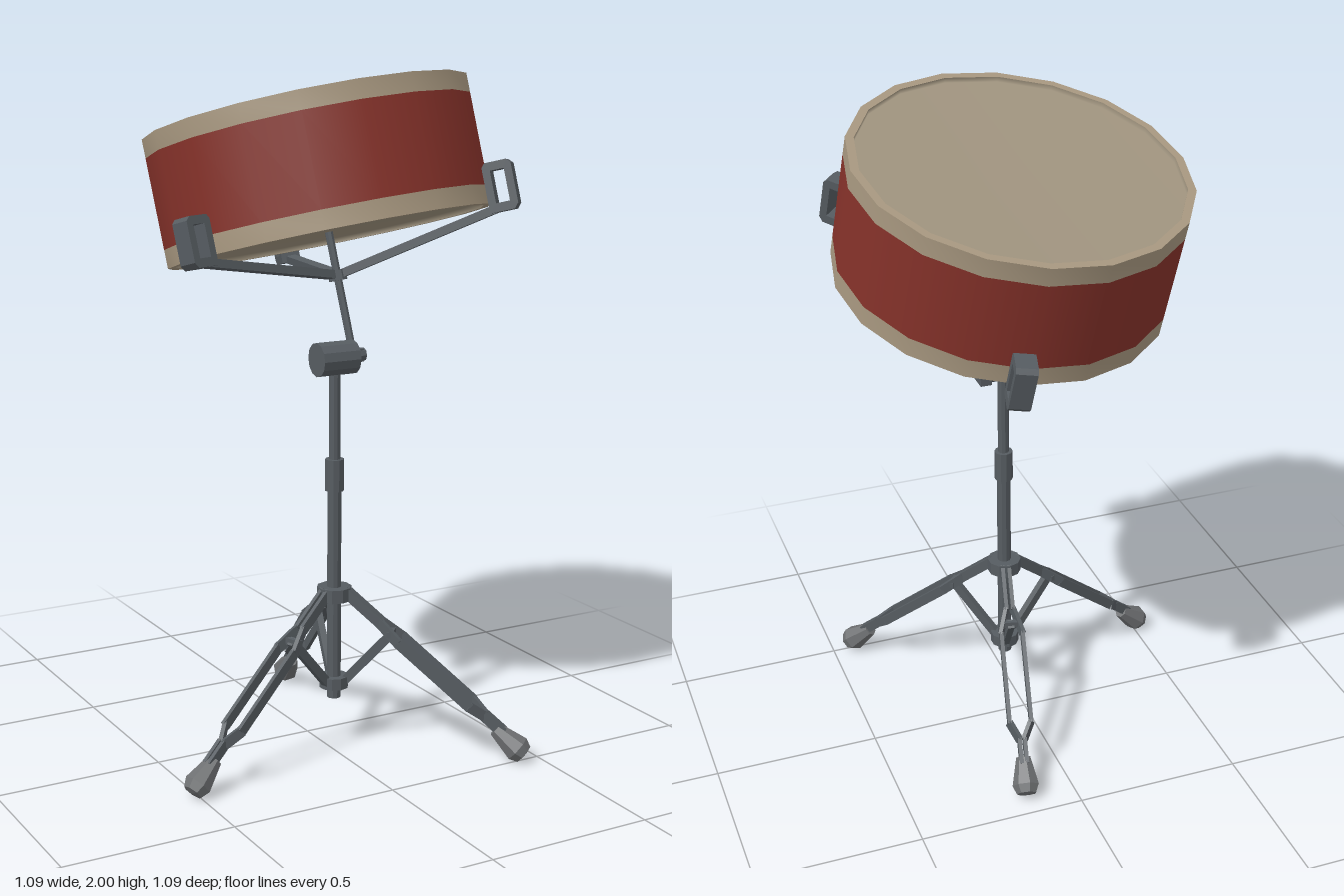
import * as THREE from 'three';
import { toCreasedNormals } from 'three/addons/utils/BufferGeometryUtils.js';

const mat = (color, flatShading = false) => new THREE.MeshStandardMaterial({ color, flatShading });
const metal = mat(0x565c61, true);
const rubber = mat(0x6e7072, true);
const red = mat(0x86322a);
const rimTan = mat(0xa89880);
const skin = mat(0xa0947f);

// Directions of the three legs and of the three cradle arms, in degrees
const ANGLES = [43, 163, -77];

export function createModel() {
  const model = new THREE.Group();

  function add(parent, name, geometry, material, x = 0, y = 0, z = 0) {
    const mesh = new THREE.Mesh(geometry, material);
    mesh.name = name;
    mesh.position.set(x, y, z);
    parent.add(mesh);
    return mesh;
  }

  // Straight box bar between two points
  function bar(parent, name, a, b, width, height, extra = 0.006) {
    const p = new THREE.Vector3(...a), q = new THREE.Vector3(...b);
    const mesh = new THREE.Mesh(new THREE.BoxGeometry(width, height, p.distanceTo(q) + extra), metal);
    mesh.name = name;
    mesh.position.copy(p).add(q).multiplyScalar(0.5);
    mesh.lookAt(q);
    parent.add(mesh);
  }

  // Group whose +x points outwards at the given angle
  function spoke(parent, name, angle) {
    const group = new THREE.Group();
    group.name = name;
    group.rotation.y = -THREE.MathUtils.degToRad(angle);
    parent.add(group);
    return group;
  }

  const cyl = (top, bottom, height, sides) => new THREE.CylinderGeometry(top, bottom, height, sides);

  // ---- Stand ----
  const stand = new THREE.Group();
  stand.name = 'stand';
  stand.position.set(0.024, 0, 0.12);
  model.add(stand);

  add(stand, 'lowerPole', cyl(0.021, 0.021, 0.66, 10), metal, 0, 0.48, 0);
  add(stand, 'upperPole', cyl(0.017, 0.017, 0.36, 10), metal, 0, 0.98, 0);
  add(stand, 'heightCollar', cyl(0.028, 0.028, 0.095, 10), metal, 0, 0.835, 0);
  add(stand, 'upperLegCollar', cyl(0.052, 0.052, 0.04, 10), metal, 0, 0.475, 0);
  add(stand, 'lowerLegCollar', cyl(0.044, 0.044, 0.035, 10), metal, 0, 0.2, 0);

  // Tilt clamp with its bolt
  add(stand, 'tiltClamp', cyl(0.05, 0.05, 0.12, 12), metal, 0, 1.18, 0).rotation.z = Math.PI / 2;
  add(stand, 'tiltBolt', cyl(0.02, 0.02, 0.05, 8), metal, 0.08, 1.18, -0.015).rotation.z = Math.PI / 2;
  add(stand, 'rodClamp', new THREE.BoxGeometry(0.035, 0.038, 0.085), metal, 0.082, 1.18, -0.045);

  // Legs: a pair of straps that part, run side by side and meet at the foot
  const legY = r => 0.47 - (r - 0.05) * 0.83;
  const legPath = [[0.035, 0.01], [0.14, 0.01], [0.2, 0.033], [0.415, 0.033], [0.455, 0.008], [0.51, 0.008]];
  const footProfile = [[0, -0.06], [0.022, -0.06], [0.041, 0.025], [0.03, 0.05], [0, 0.055]]
    .map(p => new THREE.Vector2(...p));
  for (const angle of ANGLES) {
    const leg = spoke(stand, 'leg', angle);
    for (const side of [1, -1]) {
      for (let i = 1; i < legPath.length; i++) {
        const [r0, w0] = legPath[i - 1], [r1, w1] = legPath[i];
        bar(leg, 'legStrap', [r0, legY(r0), side * w0], [r1, legY(r1), side * w1], 0.012, 0.03);
      }
    }
    bar(leg, 'legPivot', [0.175, legY(0.175), -0.028], [0.175, legY(0.175), 0.028], 0.018, 0.018);
    bar(leg, 'legBrace', [0.03, 0.2, 0], [0.178, 0.365, 0], 0.02, 0.026);
    const foot = add(leg, 'foot', new THREE.LatheGeometry(footProfile, 7), rubber, 0.535, 0.055, 0);
    foot.rotation.z = -Math.PI / 2 - Math.atan(0.83);
  }

  // ---- Tilted drum with its cradle; origin at the middle of the bottom rim ----
  const drum = new THREE.Group();
  drum.name = 'drum';
  drum.position.set(0.072, 1.514, 0.004);
  drum.quaternion.setFromUnitVectors(
    new THREE.Vector3(0, 1, 0), new THREE.Vector3(-0.035, 0.365, -0.09).normalize());
  model.add(drum);

  const R = 0.48, INNER = 0.456, H = 0.377, RIM = 0.055, RECESS = 0.016;
  const lathe = points => new THREE.LatheGeometry(
    points.map(p => new THREE.Vector2(...p)), 18, Math.PI / 2);
  add(drum, 'shell', lathe([[R, RIM], [R, H - RIM]]), red);
  add(drum, 'topRim', toCreasedNormals(lathe([[R, H - RIM], [R, H], [INNER, H]]), 0.6), rimTan);
  add(drum, 'bottomRim', toCreasedNormals(lathe([[INNER, 0], [R, 0], [R, RIM]]), 0.6), rimTan);
  // Each head turns softly into the inner wall of its rim
  add(drum, 'topHead', lathe([[INNER, H], [INNER, H - RECESS], [0, H - RECESS]]), skin);
  add(drum, 'bottomHead', lathe([[0, RECESS], [INNER, RECESS], [INNER, 0]]), skin);

  // Rod down to the tilt clamp
  add(drum, 'cradleRod', cyl(0.012, 0.012, 0.38, 8), metal, 0, -0.168, 0);
  add(drum, 'cradleHub', cyl(0.028, 0.028, 0.03, 8), metal, 0, -0.112, 0);

  // Rectangular clip with a slot, standing against the shell
  const clip = new THREE.Shape([[0.478, -0.03], [0.55, -0.03], [0.562, -0.015], [0.562, 0.1], [0.55, 0.112], [0.488, 0.112], [0.478, 0.1]]
    .map(p => new THREE.Vector2(...p)));
  clip.holes.push(new THREE.Path([[0.5, -0.005], [0.5, 0.088], [0.54, 0.088], [0.54, -0.005]]
    .map(p => new THREE.Vector2(...p))));
  const clipGeometry = new THREE.ExtrudeGeometry(clip, { depth: 0.06, bevelEnabled: false });
  clipGeometry.translate(0, 0, -0.03);

  for (const angle of ANGLES) {
    const arm = spoke(drum, 'cradleArm', angle);
    bar(arm, 'armBar', [0, -0.112, 0], [0.5, -0.018, 0], 0.03, 0.024);
    add(arm, 'armClip', clipGeometry, metal);
  }

  return model;
}
